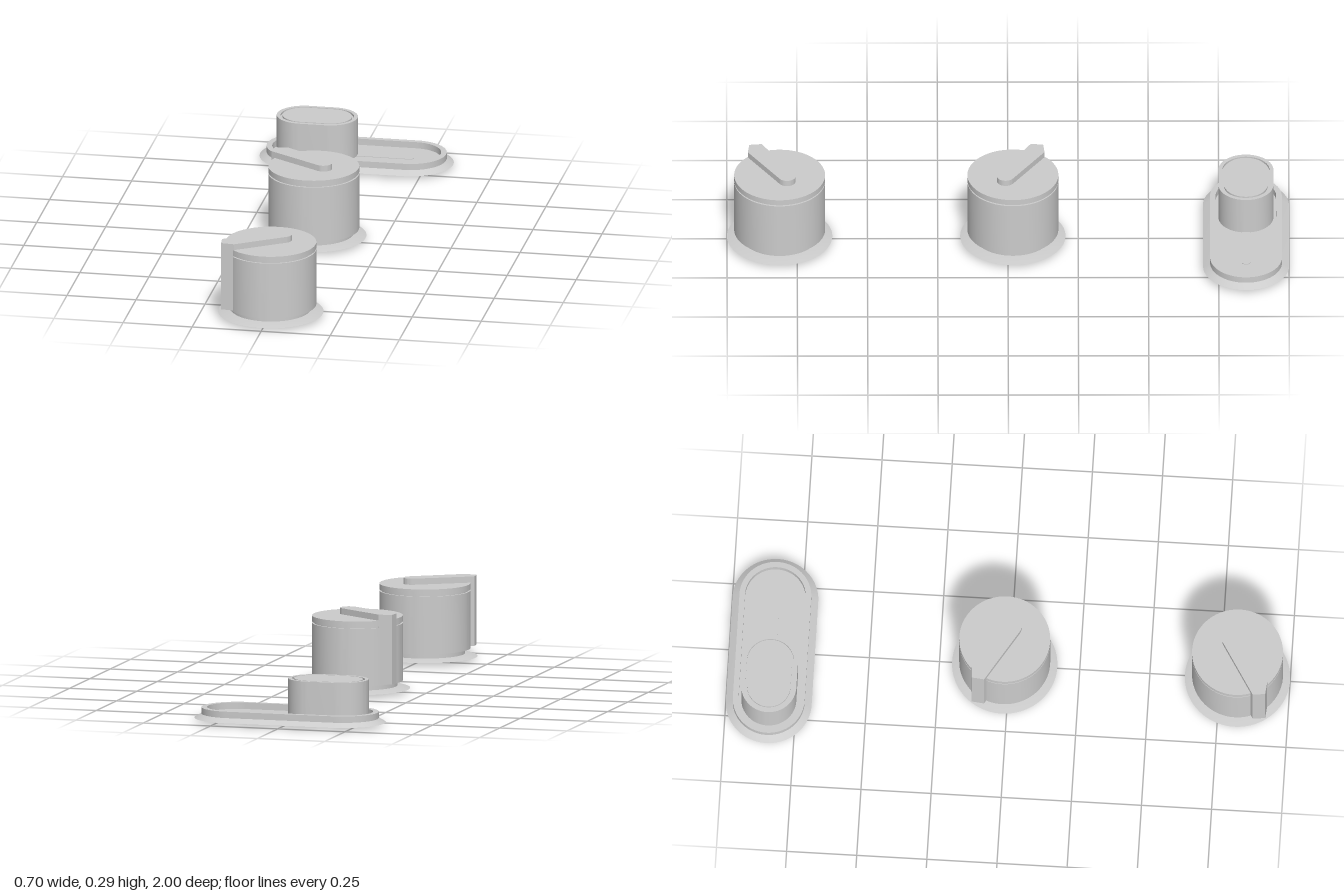
import * as THREE from 'three';
import { toCreasedNormals } from 'three/addons/utils/BufferGeometryUtils.js';

const material = new THREE.MeshStandardMaterial({ color: 0xcccccc });

function addMesh(parent, name, geometry, x = 0, z = 0) {
  const mesh = new THREE.Mesh(toCreasedNormals(geometry, 0.5), material);
  mesh.name = name;
  mesh.position.set(x, 0, z);
  parent.add(mesh);
}

// Turned profile of [radius, y]; a stretch pulls the two halves apart in x to make a stadium
function turned(profile, stretch = 0) {
  const segments = 72;
  const points = profile.map(([r, y]) => new THREE.Vector2(r, y));
  const geometry = new THREE.LatheGeometry(points, segments, Math.PI / segments);
  const pos = geometry.attributes.position;
  for (let i = 0; i < pos.count; i++) {
    const x = pos.getX(i);
    if (Math.abs(x) > 1e-6) pos.setX(i, x + Math.sign(x) * stretch);
  }
  return geometry;
}

// Pointer bar: rounded at the inner end, blunt point beyond the rim
function pointerGeometry(side) {
  const angle = THREE.MathUtils.degToRad(33);
  const outline = [[-0.113, 0.113], [-0.16, 0.108], [-0.165, 0.064]];
  for (let i = 0; i <= 16; i++) {
    const a = -angle - Math.PI / 2 + (Math.PI * i) / 16;
    outline.push([0.04 + 0.031 * Math.cos(a), -0.026 + 0.031 * Math.sin(a)]);
  }
  const shape = new THREE.Shape(outline.map(([x, y]) => new THREE.Vector2(x, y * side)));
  return new THREE.ExtrudeGeometry(shape, { depth: 0.25, bevelEnabled: false, curveSegments: 1 })
    .rotateX(-Math.PI / 2)
    .translate(0, 0.045, 0);
}

function createKnob(name, z, side) {
  const knob = new THREE.Group();
  knob.name = name;
  knob.position.z = z;
  // Sloped skirt and neck
  addMesh(knob, 'skirt', turned([[0, 0.012], [0.1875, 0.012], [0.143, 0.022], [0, 0.022]]));
  addMesh(knob, 'neck', turned([[0.143, 0.021], [0.143, 0.041]]));
  // Drum with a narrow groove under the cap
  addMesh(knob, 'drum', turned([
    [0, 0.04], [0.162, 0.04], [0.162, 0.247], [0.155, 0.247], [0.155, 0.252],
    [0.162, 0.252], [0.162, 0.273], [0, 0.273],
  ]));
  addMesh(knob, 'pointer', pointerGeometry(side));
  return knob;
}

function createSlider() {
  const slider = new THREE.Group();
  slider.name = 'slideSwitch';
  slider.position.z = -0.847;
  // Tray with sloped skirt, raised rim and sunken floor
  addMesh(slider, 'tray', turned([
    [0, 0.012], [0.153, 0.012], [0.128, 0.027], [0.128, 0.05],
    [0.108, 0.05], [0.108, 0.027], [0, 0.027],
  ], 0.196));
  // Guide rail through the floor
  addMesh(slider, 'guideRail', turned([[0, 0], [0.015, 0], [0.015, 0.029], [0, 0.029]], 0.193));
  // Button with a fine groove around its top pad
  addMesh(slider, 'button', turned([
    [0, 0.027], [0.098, 0.027], [0.098, 0.166], [0.084, 0.166], [0.084, 0.158],
    [0.077, 0.158], [0.077, 0.166], [0, 0.166],
  ], 0.0475), -0.1425);
  return slider;
}

export function createModel() {
  const model = new THREE.Group();
  model.name = 'controlSet';
  model.add(createKnob('frontKnob', 0.8125, -1));
  model.add(createKnob('middleKnob', -0.0175, 1));
  model.add(createSlider());
  return model;
}
